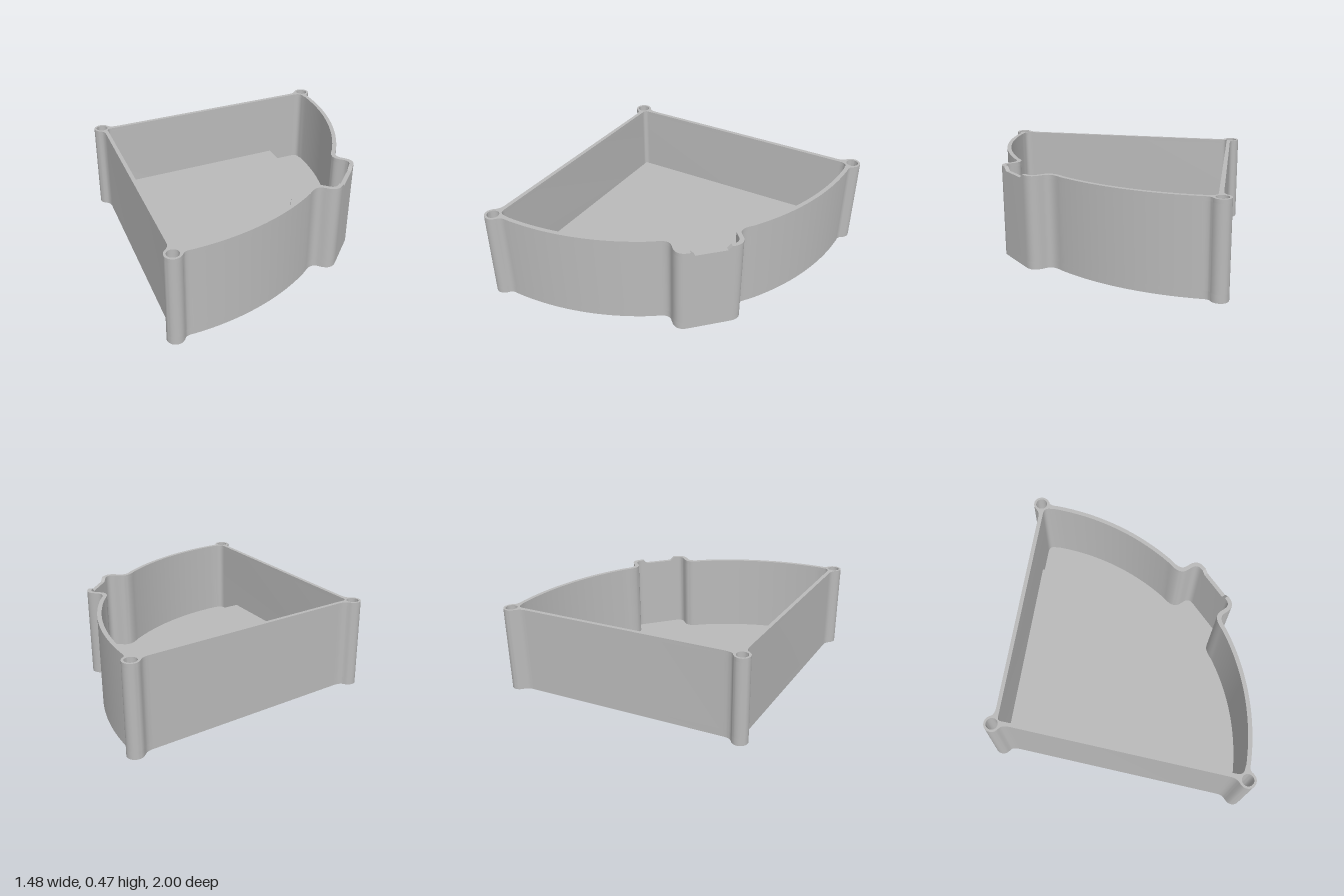
import * as THREE from 'three';
import { toCreasedNormals } from 'three/addons/utils/BufferGeometryUtils.js';

const HEIGHT = 0.475, FLOOR = 0.04, RAISED = 0.11, NOTCH = 0.455;
const CX = -0.654; // centre of the sector arcs
const POST_R = 0.043, HOLE_R = 0.031;
const POSTS = [[-0.696, 0], [0.208, 0.957], [0.208, -0.957]];

const v = (x, y) => new THREE.Vector2(x, y);

// Points on an arc, angles in radians
function arc(cx, cy, r, a0, a1, n) {
  return Array.from({ length: n + 1 }, (_, i) => {
    const a = a0 + (a1 - a0) * i / n;
    return v(cx + r * Math.cos(a), cy + r * Math.sin(a));
  });
}

// Points on a rounded corner
const bend = (a, c, b, n = 8) =>
  new THREE.QuadraticBezierCurve(v(...a), v(...c), v(...b)).getPoints(n);

// Long curved wall between two half widths
function sweep(r, y0, y1) {
  return arc(CX, 0, r, Math.asin(y0 / r), Math.asin(y1 / r), 28);
}

const mirror = pts => pts.map(p => v(p.x, -p.y)).reverse();

// Half outlines, from the apex to the tab
const outerHalf = [
  ...arc(...POSTS[0], POST_R, Math.PI, Math.PI * 0.42, 10),
  ...bend([-0.672, 0.039], [-0.652, 0.04], [-0.628, 0.066]),
  ...bend([0.145, 0.894], [0.168, 0.918], [0.165, 0.945]),
  ...arc(...POSTS[1], POST_R, Math.PI, 0, 16),
  ...bend([0.251, 0.945], [0.243, 0.928], [0.262, 0.907], 5),
  ...sweep(1.29, 0.9, 0.25),
  ...bend([0.613, 0.235], [0.618, 0.172], [0.66, 0.172]),
  ...bend([0.68, 0.172], [0.737, 0.17], [0.737, 0.11]),
  v(0.737, 0.1),
];
const innerHalf = [
  ...bend([-0.656, 0], [-0.656, 0.012], [-0.642, 0.022], 4),
  ...bend([0.18, 0.899], [0.208, 0.93], [0.236, 0.899], 6),
  ...sweep(1.268, 0.89, 0.24),
  ...bend([0.592, 0.225], [0.6, 0.15], [0.65, 0.15]),
  ...bend([0.675, 0.15], [0.716, 0.15], [0.716, 0.11]),
  v(0.716, 0.1),
];

// Closed loop from a half outline, starting and ending at the tab
const loop = half => [...half.slice().reverse(), ...mirror(half).reverse().slice(1)];

export function createModel() {
  const model = new THREE.Group();
  const grey = new THREE.MeshStandardMaterial({ color: 0xbababa });
  grey.name = 'grey plastic';

  // Extrude a plan shape upwards between two heights
  function slab(name, shape, y0, y1) {
    let geo = new THREE.ExtrudeGeometry(shape, { depth: y1 - y0, bevelEnabled: false, curveSegments: 12 });
    geo.rotateX(-Math.PI / 2);
    geo.translate(0, y0, 0);
    geo = toCreasedNormals(geo, 0.6);
    const mesh = new THREE.Mesh(geo, grey);
    mesh.name = name;
    model.add(mesh);
  }

  // Round sockets in the corner posts
  function addSockets(shape) {
    for (const [x, y] of POSTS) {
      shape.holes.push(new THREE.Path(arc(x, y, HOLE_R, 0, Math.PI * 2, 24).slice(0, -1)));
    }
    return shape;
  }

  // Floor plate
  slab('floor', new THREE.Shape(loop(outerHalf)), 0, FLOOR);

  // Wall up to the bottom of the tab notch
  const wall = new THREE.Shape(loop(outerHalf));
  wall.holes.push(new THREE.Path(loop(innerHalf)));
  slab('wall', addSockets(wall), FLOOR, NOTCH);

  // Rim, left open at the tab
  const rim = new THREE.Shape([...loop(outerHalf), ...loop(innerHalf).reverse()]);
  slab('rim', addSockets(rim), NOTCH, HEIGHT);

  // Raised inner floor, a smaller sector
  const edge = Math.atan2(0.78, 0.07 - CX);
  const sector = [v(-0.655, 0), ...arc(CX, 0, 1.064, -edge, edge, 40)];
  slab('raisedFloor', new THREE.Shape(sector), FLOOR, RAISED);

  // Sloped ends of the notch
  for (const s of [1, -1]) {
    const tri = new THREE.Shape([v(s * 0.1, NOTCH), v(s * 0.1, HEIGHT), v(s * 0.08, NOTCH)]);
    const geo = new THREE.ExtrudeGeometry(tri, { depth: 0.021, bevelEnabled: false });
    geo.rotateY(Math.PI / 2);
    geo.translate(0.716, 0, 0);
    const slope = new THREE.Mesh(geo, grey);
    slope.name = s > 0 ? 'notchSlopeBack' : 'notchSlopeFront';
    model.add(slope);
  }

  return model;
}
